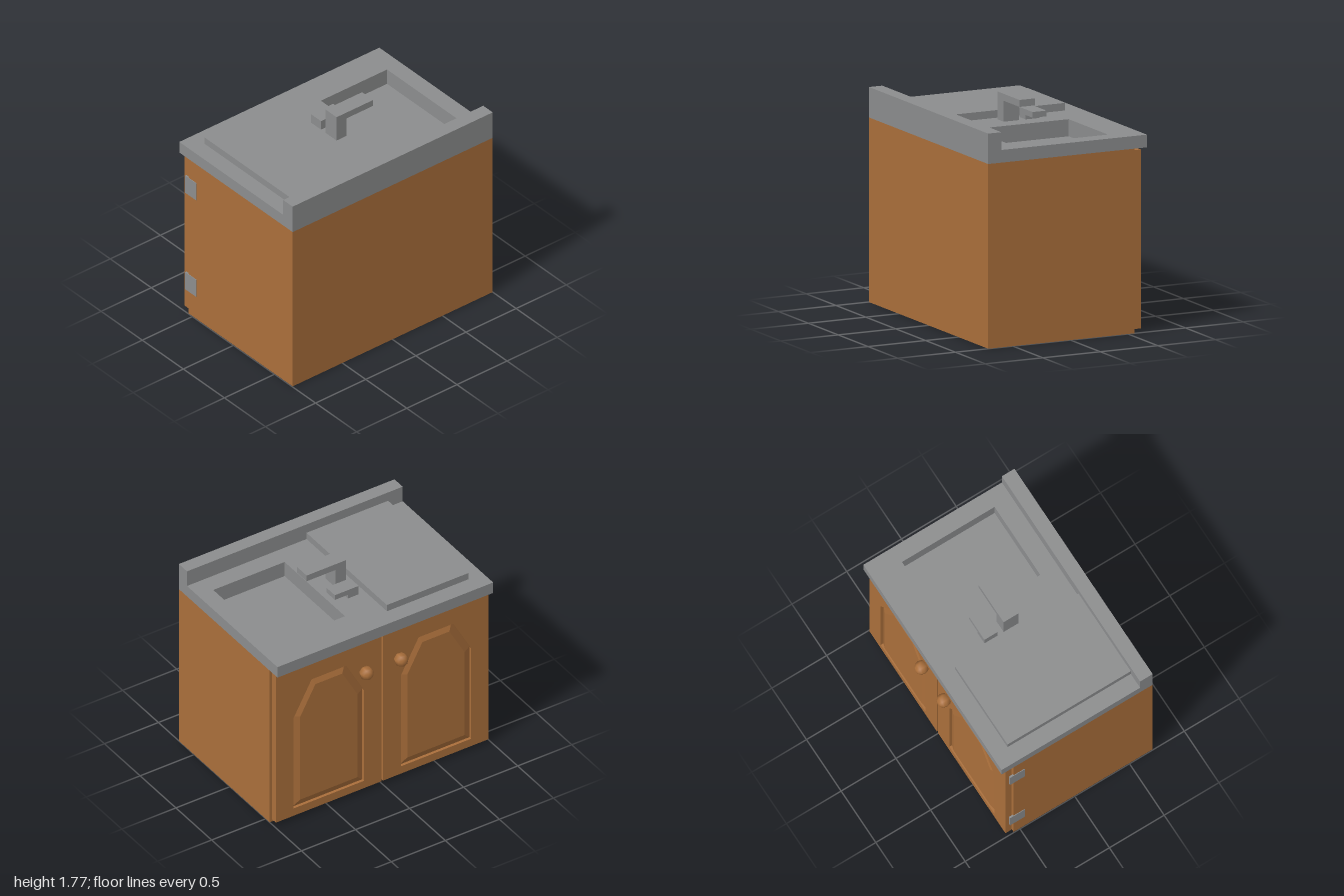
import * as THREE from 'three';

const wood = new THREE.MeshStandardMaterial({ color: 0xaa6f3b });
wood.name = 'wood';
const grey = new THREE.MeshStandardMaterial({ color: 0x8c8d8e });
grey.name = 'greyStone';

function add(parent, name, geometry, material) {
  const mesh = new THREE.Mesh(geometry, material);
  mesh.name = name;
  parent.add(mesh);
  return mesh;
}

// Box given by its limits on each axis
function block(parent, name, material, [x0, x1], [y0, y1], [z0, z1]) {
  const mesh = add(parent, name, new THREE.BoxGeometry(x1 - x0, y1 - y0, z1 - z0), material);
  mesh.position.set((x0 + x1) / 2, (y0 + y1) / 2, (z0 + z1) / 2);
  return mesh;
}

const polygon = (points) => points.map(([x, y]) => new THREE.Vector2(x, y));
const rect = (x0, x1, y0, y1) => polygon([[x0, y0], [x1, y0], [x1, y1], [x0, y1]]);

// Door drawn in its own plane, width along local x, facing local +z
function makeDoor(name) {
  const door = new THREE.Group();
  door.name = name;
  const outline = polygon([[-0.325, 0.1], [0.325, 0.1], [0.325, 0.97], [0.16, 1.27], [-0.16, 1.27], [-0.325, 0.97]]);
  const frame = new THREE.Shape(rect(-0.49, 0.485, 0.03, 1.44));
  frame.holes.push(new THREE.Path(outline));
  add(door, 'doorFrame', new THREE.ExtrudeGeometry(frame, { depth: 0.055, bevelEnabled: false }), wood);
  // Panel whose bevelled rim sinks below the frame
  const panel = new THREE.ExtrudeGeometry(new THREE.Shape(outline), {
    depth: 0.005, bevelSize: 0.06, bevelOffset: -0.06, bevelThickness: 0.025, bevelSegments: 1,
  });
  add(door, 'doorPanel', panel, wood).position.z = 0.025;
  return door;
}

export function createModel() {
  const model = new THREE.Group();
  model.name = 'sinkCabinet';

  // Cabinet body, open on top so the basin can sink in
  const body = block(model, 'cabinetBody', wood, [-0.555, 0.715], [0, 1.455], [-1, 0.995]);
  const index = Array.from(body.geometry.index.array);
  index.splice(12, 6);
  body.geometry.setIndex(index);
  body.geometry.clearGroups();

  // Countertop with the basin cut-out
  const hole = { x: [-0.4, 0.445], z: [-0.86, -0.2] };
  const top = new THREE.Shape(rect(-0.665, 0.715, -1, 0.995));
  top.holes.push(new THREE.Path(rect(...hole.x, ...hole.z)));
  const counter = add(model, 'countertop', new THREE.ExtrudeGeometry(top, { depth: 0.1, bevelEnabled: false }), grey);
  counter.rotation.x = Math.PI / 2;
  counter.position.y = 1.555;
  block(model, 'backsplash', grey, [0.6, 0.715], [1.555, 1.695], [-1, 0.995]);

  // Basin walls and floor under the cut-out
  const [x0, x1] = hole.x, [z0, z1] = hole.z, wallY = [1.39, 1.455], t = 0.03;
  block(model, 'basinFloor', grey, [x0 - t, x1 + t], [1.39, 1.42], [z0 - t, z1 + t]);
  block(model, 'basinWall', grey, [x0 - t, x0], wallY, [z0 - t, z1 + t]);
  block(model, 'basinWall', grey, [x1, x1 + t], wallY, [z0 - t, z1 + t]);
  block(model, 'basinWall', grey, [x0, x1], wallY, [z0 - t, z0]);
  block(model, 'basinWall', grey, [x0, x1], wallY, [z1, z1 + t]);

  // Raised draining board
  block(model, 'drainingBoard', grey, [-0.525, 0.6], [1.555, 1.615], [0.105, 0.86]);

  // Tap and its lever, each a post with an arm over the basin
  block(model, 'tapPost', grey, [-0.045, 0.09], [1.555, 1.775], [-0.055, 0.045]);
  block(model, 'tapSpout', grey, [-0.045, 0.09], [1.72, 1.775], [-0.32, -0.055]);
  block(model, 'leverPost', grey, [-0.22, -0.1], [1.555, 1.635], [-0.055, 0.045]);
  block(model, 'leverArm', grey, [-0.22, -0.1], [1.59, 1.635], [-0.175, -0.055]);

  // Two doors with round knobs
  for (const side of [-1, 1]) {
    const door = makeDoor(side < 0 ? 'rightDoor' : 'leftDoor');
    door.rotation.y = -Math.PI / 2;
    door.position.set(-0.565, 0, side * 0.495);
    model.add(door);
    const knob = add(model, 'knob', new THREE.SphereGeometry(0.058, 7, 6), wood);
    knob.rotation.z = Math.PI / 2;
    knob.position.set(-0.657, 1.155, side * 0.16 - 0.01);
  }

  // Hinge plates
  for (const y of [0.29, 1.2]) {
    block(model, 'hinge', grey, [-0.59, -0.455], [y - 0.08, y + 0.08], [0.985, 1]);
  }
  return model;
}
